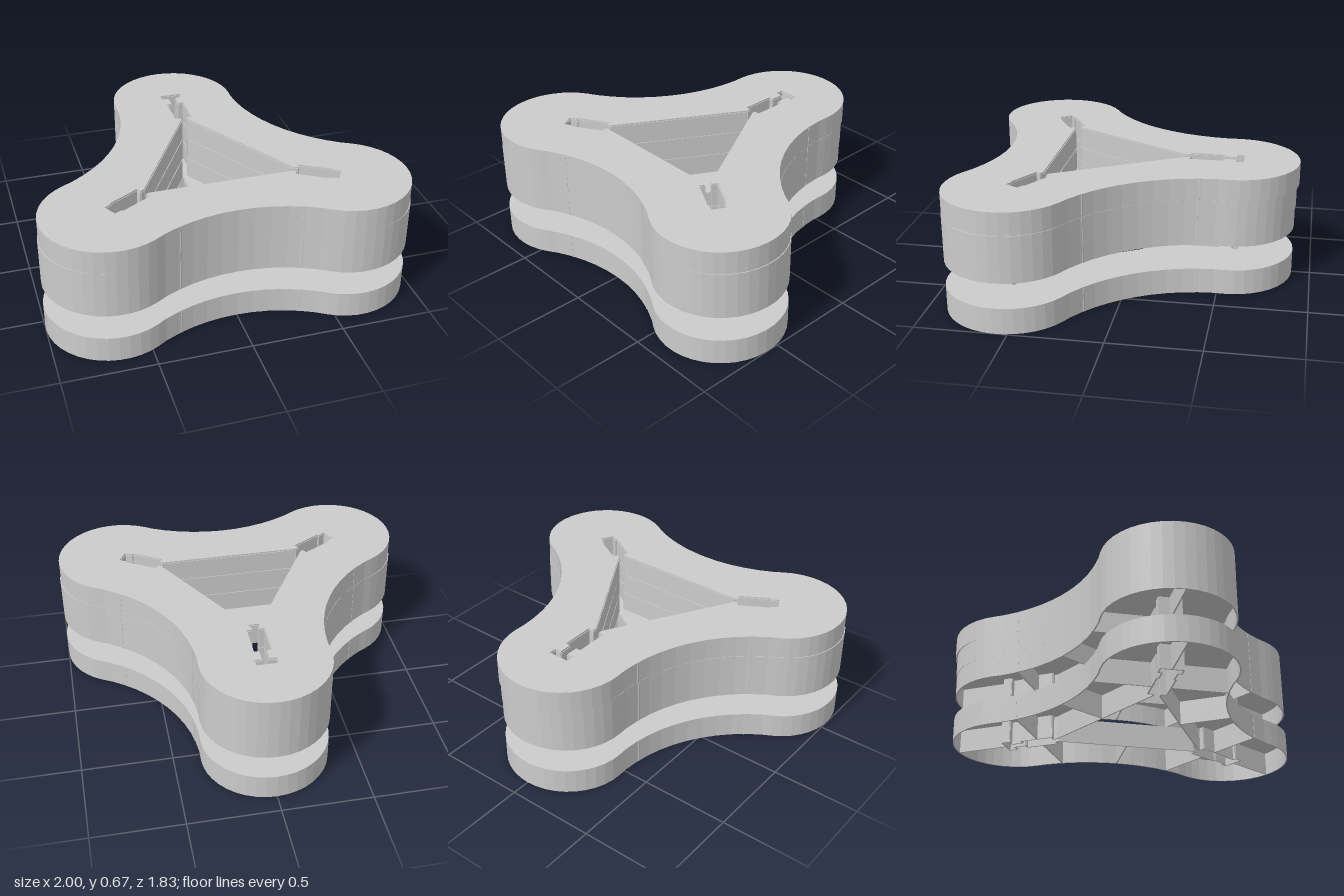
import * as THREE from 'three';

const CZ = 0.19;           // centre of the three-lobed plan
const T = 0.008;           // wall thickness
const DEG = Math.PI / 180;
const LOBES = [-90, 30, 150]; // lobe directions in the x/z plan; the first is the back lobe

const material = new THREE.MeshStandardMaterial({ color: 0xcccccc, flatShading: true, side: THREE.DoubleSide });

// Rounded lobes joined by tangent concave arcs
function outline(inset, place) {
  const pts = [];
  const arc = (cr, cDeg, r, a0, a1, n) => {
    for (let i = 0; i < n; i++) {
      const a = (a0 + (a1 - a0) * i / (n - 1)) * DEG;
      pts.push(place(cr * Math.cos(cDeg * DEG) + r * Math.cos(a), cr * Math.sin(cDeg * DEG) + r * Math.sin(a)));
    }
  };
  for (const d of LOBES) {
    arc(0.748, d, 0.352 - inset, d - 91.7, d + 91.7, 21);
    const a = d + 240;
    arc(1.423, d + 60, 0.883 + inset, a + 28, a - 28, 11);
  }
  return pts;
}

// Point at distance r along a direction and s to its side
function polar(deg, r, s, place) {
  const c = Math.cos(deg * DEG), k = Math.sin(deg * DEG);
  return place(r * c - s * k, r * k + s * c);
}

// Triangular opening with a keyed slot in each corner
function opening(isLid, place) {
  const pts = [];
  LOBES.forEach((d, i) => {
    const neck = i === 0 ? 0.022 : 0.04;
    const half = [[0.47, 0.02], [0.49, 0.02], [0.49, 0.05], [0.68, 0.05], [0.68, neck]];
    if (isLid && i > 0) half.push([0.725, neck]);
    else half.push([0.75, neck], [0.75, 0.06], [0.795, 0.06]);
    for (const [r, s] of half) pts.push(polar(d, r, -s, place));
    for (const [r, s] of half.slice().reverse()) pts.push(polar(d, r, s, place));
  });
  return pts;
}

// Flat plan extruded downward from the given top height
function slab(name, outer, hole, top, depth) {
  const shape = new THREE.Shape(outer);
  shape.holes.push(new THREE.Path(hole));
  const geo = new THREE.ExtrudeGeometry(shape, { depth, bevelEnabled: false });
  geo.rotateX(Math.PI / 2);
  const mesh = new THREE.Mesh(geo, material);
  mesh.name = name;
  mesh.position.y = top;
  return mesh;
}

// Upright thin wall between two plan points
function panel(name, a, b, y0, y1) {
  const mesh = new THREE.Mesh(new THREE.BoxGeometry(a.distanceTo(b), y1 - y0, T), material);
  mesh.name = name;
  mesh.position.set((a.x + b.x) / 2, (y0 + y1) / 2, (a.y + b.y) / 2);
  mesh.rotation.y = -Math.atan2(b.y - a.y, b.x - a.x);
  return mesh;
}

// One hollow tray: skin on top, open below, ribs inside
function tray({ name, y0, y1, back, width = 1, isLid = false }) {
  const g = new THREE.Group();
  g.name = name;
  const place = (x, z) => {
    const wz = z + CZ;
    return new THREE.Vector2(x * width, wz < 0 ? wz * back : wz);
  };
  const outer = outline(0, place);
  const hole = opening(isLid, place);
  const under = y1 - T;
  g.add(slab('topSkin', outer, hole, y1, T));
  g.add(slab('outerWall', outer, outline(T, place), under, under - y0));
  hole.forEach((p, i) => g.add(panel('openingWall', p, hole[(i + 1) % hole.length], y0, under)));

  LOBES.forEach((d, i) => {
    const rib = (deg, r0, s0, r1, s1) =>
      g.add(panel('rib', polar(deg, r0, s0, place), polar(deg, r1, s1, place), y0, under));
    rib(d, isLid && i > 0 ? 0.725 : 0.795, 0, 1.094, 0);   // slot end to lobe tip
    for (const s of [-1, 1]) rib(d, 0.58, s * 0.05, 0.58, s * 0.362); // slot side to outer wall
    rib(d + 60, 0.253, 0, 0.537, 0);                       // middle of each side
  });
  return g;
}

export function createModel() {
  const model = new THREE.Group();
  model.name = 'threeLobedTrayStack';
  model.add(
    tray({ name: 'baseTray', y0: 0, y1: 0.143, back: 0.985 }),
    tray({ name: 'lowerTray', y0: 0.284, y1: 0.41, back: 0.985 }),
    tray({ name: 'middleTray', y0: 0.41, y1: 0.54, back: 0.99 }),
    tray({ name: 'lidTray', y0: 0.54, y1: 0.665, back: 1.004, width: 0.995, isLid: true }),
  );
  return model;
}
